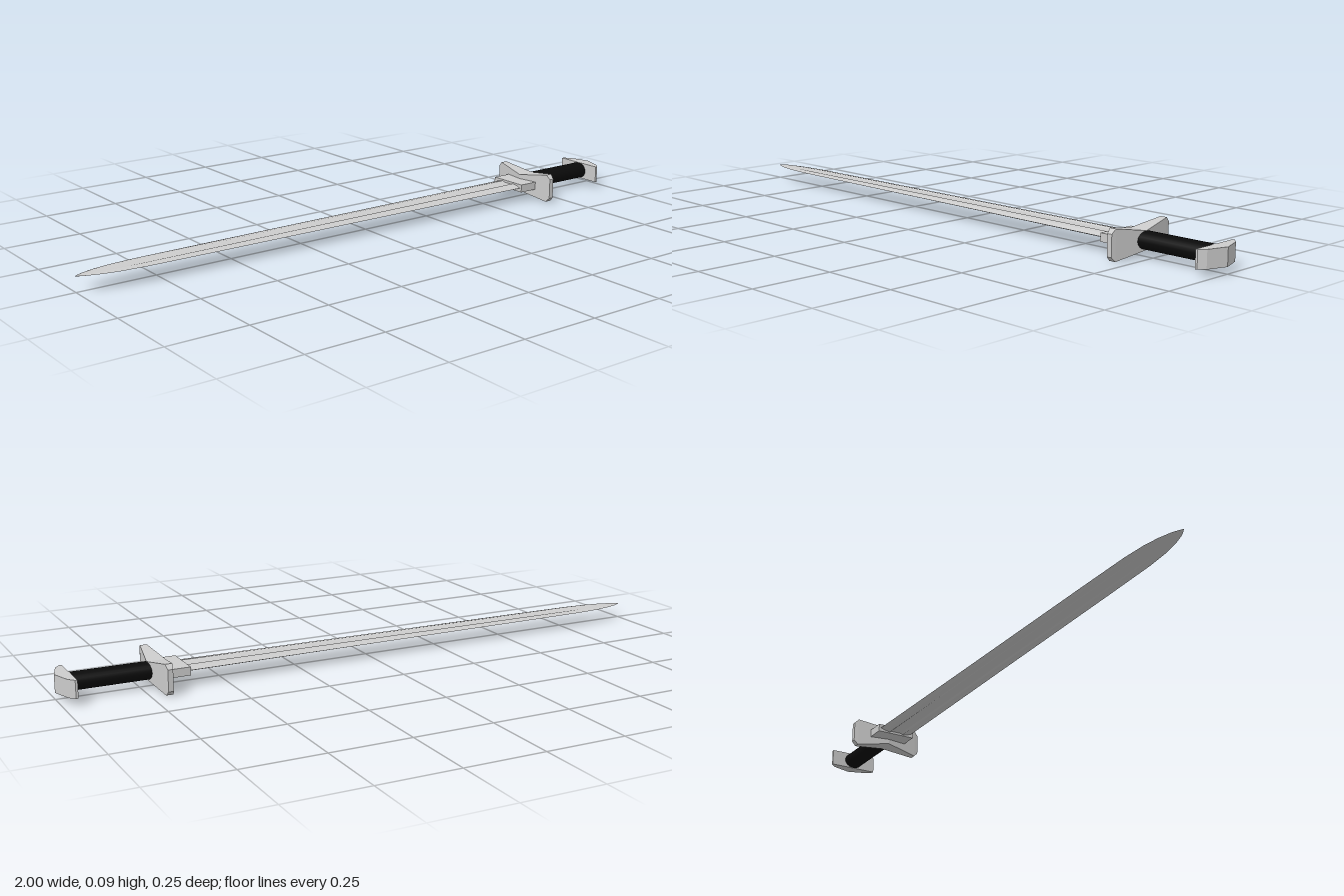
import * as THREE from 'three';

const MID = 0.048; // height of the sword's centre line
const steel = new THREE.MeshStandardMaterial({ color: 0xcccccc, flatShading: true });
const leather = new THREE.MeshStandardMaterial({ color: 0x0a0a0a });

// Skin a list of equal-length rings of points, closing both ends
function loft(rings) {
  const n = rings[0].length;
  const index = [];
  rings.forEach((ring, i) => {
    if (i === rings.length - 1) return;
    for (let j = 0; j < n; j++) {
      const a = i * n + j, b = i * n + (j + 1) % n;
      index.push(a, b, b + n, a, b + n, a + n);
    }
  });
  const last = (rings.length - 1) * n;
  for (let j = 1; j < n - 1; j++) {
    index.push(0, j + 1, j, last, last + j, last + j + 1);
  }
  const geometry = new THREE.BufferGeometry();
  geometry.setAttribute('position', new THREE.Float32BufferAttribute(rings.flat(2), 3));
  geometry.setIndex(index);
  const flat = geometry.toNonIndexed();
  flat.computeVertexNormals();
  return flat;
}

// Blade cross-section: thin edges, raised ridges and a shallow central groove
function bladeRing([x, halfWidth, halfThick, groove]) {
  const upper = [[1, 0], [0.72, 0.7], [0.42, 1], [0.3, groove], [-0.3, groove], [-0.42, 1], [-0.72, 0.7]];
  const lower = upper.map(([s, t]) => [-s, -t]);
  return [...upper, ...lower].map(([s, t]) => [x, MID + t * halfThick, s * halfWidth]);
}

export function createModel() {
  const sword = new THREE.Group();
  const add = (name, geometry, material = steel) => {
    const mesh = new THREE.Mesh(geometry, material);
    mesh.name = name;
    sword.add(mesh);
    return mesh;
  };

  // Blade: x, half width, half thickness, groove height
  add('blade', loft([
    [0.64, 0.06, 0.009, 0.6],
    [0, 0.053, 0.007, 0.6],
    [-0.6, 0.047, 0.0045, 0.6],
    [-0.8, 0.044, 0.0035, 0.65],
    [-0.88, 0.038, 0.003, 0.8],
    [-0.93, 0.029, 0.0025, 1],
    [-0.97, 0.017, 0.002, 1],
    [-0.99, 0.007, 0.0015, 1],
    [-1, 0.0005, 0.0005, 1],
  ].map(bladeRing)));

  // Collar between blade and guard
  add('collar', new THREE.BoxGeometry(0.065, 0.026, 0.134)).position.set(0.645, MID, 0);

  // Guard: flares in height toward both ends, with bevelled tips
  const guardSections = [
    [-0.126, 0.008, 0.033], [-0.112, 0.011, 0.047], [0, 0.029, 0.028],
    [0.112, 0.011, 0.047], [0.126, 0.008, 0.033],
  ];
  add('guard', loft(guardSections.map(([z, w, h]) =>
    [[1, 1], [-1, 1], [-1, -1], [1, -1]].map(([s, t]) => [0.696 + s * w, 0.047 + t * h, z]))));

  // Grip: slightly oval cylinder along x
  const grip = new THREE.CylinderGeometry(1, 1, 0.26, 24);
  grip.rotateZ(Math.PI / 2);
  grip.scale(1, 0.027, 0.033);
  add('grip', grip, leather).position.set(0.835, MID, 0);

  // Pommel: faceted cap with swept ends
  const outline = [
    [0.955, -0.083], [0.962, -0.083], [0.979, -0.064], [1, 0],
    [0.979, 0.064], [0.962, 0.083], [0.955, 0.083],
  ].map(([x, z]) => new THREE.Vector2(x, z));
  const pommel = new THREE.ExtrudeGeometry(new THREE.Shape(outline), { depth: 0.055, bevelEnabled: false });
  pommel.rotateX(-Math.PI / 2);
  add('pommel', pommel).position.y = 0.02;

  return sword;
}
